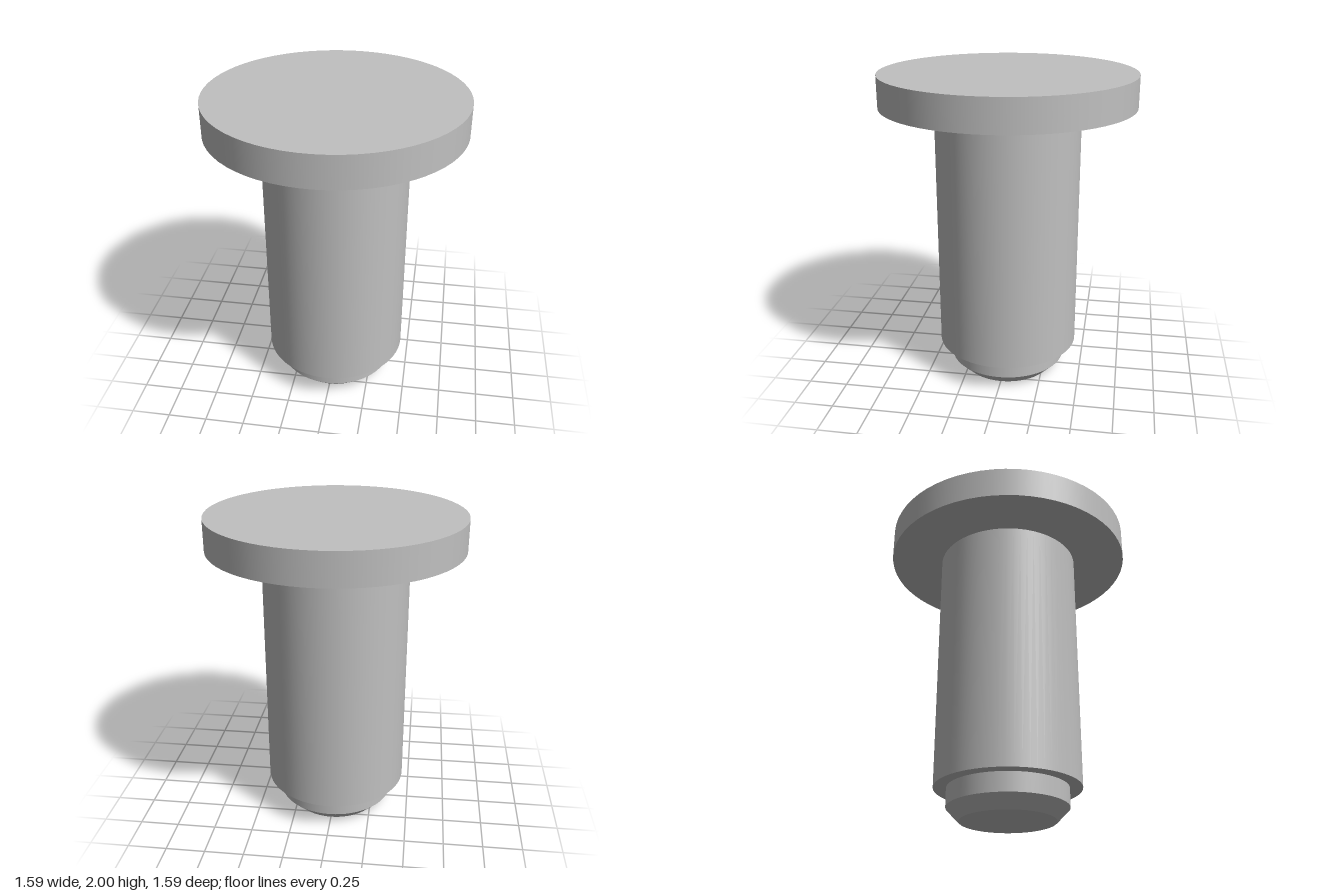
import * as THREE from 'three';

export function createModel() {
  const model = new THREE.Group();
  const steel = new THREE.MeshStandardMaterial({ color: 0xc0c0c0 });
  steel.name = 'steel grey';

  // One turned section of the pin, from height y0 to y1
  const section = (name, y0, y1, bottomRadius, topRadius, open = false) => {
    const geometry = new THREE.CylinderGeometry(topRadius, bottomRadius, y1 - y0, 64, 1, open);
    const mesh = new THREE.Mesh(geometry, steel);
    mesh.name = name;
    mesh.position.y = (y0 + y1) / 2;
    model.add(mesh);
  };

  section('head', 1.8, 2, 0.797, 0.797);
  section('shank', 0.2, 1.8, 0.458, 0.458);
  section('tip', 0.08, 0.2, 0.378, 0.378);
  section('tipChamfer', 0, 0.08, 0.298, 0.378);

  return model;
}
